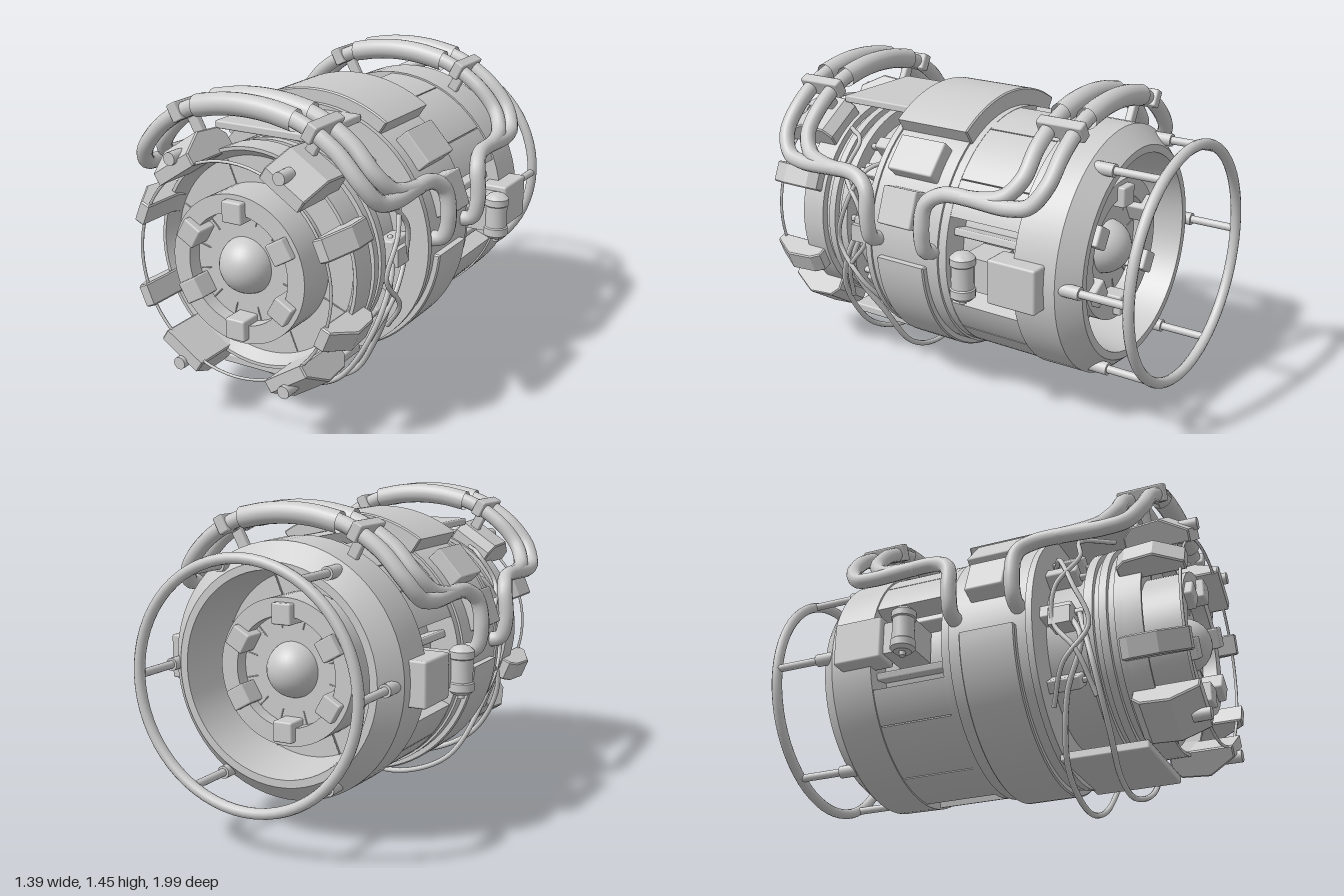
import * as THREE from 'three';
import { toCreasedNormals } from 'three/addons/utils/BufferGeometryUtils.js';
import { RoundedBoxGeometry } from 'three/addons/geometries/RoundedBoxGeometry.js';

const AXIS_Y = 0.725;
const mat = new THREE.MeshStandardMaterial({ color: 0xcccccc, side: THREE.DoubleSide });
const rad = THREE.MathUtils.degToRad;

export function createModel() {
  const model = new THREE.Group();
  const body = new THREE.Group(); // everything inside is measured from the engine axis
  body.name = 'engine';
  body.position.y = AXIS_Y;
  model.add(body);

  const add = (name, geo, x = 0, y = 0, z = 0) => {
    const m = new THREE.Mesh(geo, mat);
    m.name = name;
    m.position.set(x, y, z);
    body.add(m);
    return m;
  };
  // turned part around the z axis, profile as [radius, z]
  const turned = (name, pts, seg = 64) => {
    const g = new THREE.LatheGeometry(pts.map(p => new THREE.Vector2(...p)), seg);
    return add(name, toCreasedNormals(g.rotateX(Math.PI / 2), 0.5));
  };
  const ring = (name, r0, r1, z0, z1) =>
    turned(name, [[r0, z0], [r1, z0], [r1, z1], [r0, z1], [r0, z0]]);
  // curved plate between two radii and two angles in degrees
  const plate = (name, r0, r1, a0, a1, z0, z1) => {
    const s = new THREE.Shape();
    s.absarc(0, 0, r1, rad(a0), rad(a1), false);
    s.absarc(0, 0, r0, rad(a1), rad(a0), true);
    s.closePath();
    const b = 0.006;
    const g = new THREE.ExtrudeGeometry(s, {
      depth: z1 - z0 - 2 * b, curveSegments: 24, bevelThickness: b, bevelSize: b, bevelOffset: -b, bevelSegments: 1,
    });
    return add(name, toCreasedNormals(g.translate(0, 0, z0 + b), 0.4));
  };
  // put a mesh at an angle around the axis, its local x pointing outwards
  const place = (m, deg, r, z) => {
    m.position.set(r * Math.cos(rad(deg)), r * Math.sin(rad(deg)), z);
    m.rotation.z = rad(deg);
    return m;
  };
  const radialBox = (name, deg, r0, r1, width, z0, z1) =>
    place(add(name, new RoundedBoxGeometry(r1 - r0, width, z1 - z0, 1, 0.008)), deg, (r0 + r1) / 2, (z0 + z1) / 2);
  const rod = (name, r, z0, z1, x, y, seg = 16) =>
    add(name, new THREE.CylinderGeometry(r, r, z1 - z0, seg).rotateX(Math.PI / 2), x, y, (z0 + z1) / 2);
  // tube through points given with height above the ground
  const tube = (name, pts, r, n = 90, sides = 12) => {
    const c = new THREE.CatmullRomCurve3(pts.map(p => new THREE.Vector3(p[0], p[1] - AXIS_Y, p[2])), false, 'centripetal');
    return add(name, new THREE.TubeGeometry(c, n, r, sides));
  };

  // core and centre band
  turned('core', [[0, -0.46], [0.43, -0.46], [0.43, 0.3], [0.41, 0.34], [0.41, 0.7], [0, 0.7]]);
  ring('centreBand', 0.4, 0.572, -0.06, 0.31);
  ring('bandFlangeRear', 0.42, 0.562, -0.1, -0.06);
  ring('bandFlangeFront', 0.4, 0.58, 0.305, 0.335);
  plate('topCover', 0.55, 0.64, 56, 124, -0.07, 0.31);
  plate('bottomCover', 0.55, 0.6, 184, 356, 0, 0.26);
  for (const a of [42, 138]) radialBox('bandBlock', a, 0.5, 0.635, 0.17, 0, 0.24);
  for (const a of [20, 160]) radialBox('bandSideBlock', a, 0.5, 0.645, 0.17, 0.04, 0.22);

  // rear panels with open windows between them, repeated half a turn round
  const panels = [[21, 38], [38.5, 67], [67.5, 93], [107, 126], [126.5, 141], [141.5, 159]];
  for (const turn of [0, 180]) {
    for (const [a, b] of panels) plate('rearPanel', 0.42, 0.56, a + turn, b + turn, -0.46, -0.09);
    for (const z of [-0.36, -0.2]) radialBox('windowBar', 100 + turn, 0.42, 0.51, 0.14, z - 0.02, z + 0.02);
    for (const a of [-14, 14]) radialBox('windowRail', a + turn, 0.42, 0.51, 0.035, -0.46, -0.09);
  }

  // hollow rear housing
  turned('rearHousing', [[0.42, -0.46], [0.45, -0.735], [0.485, -0.735], [0.565, -0.65], [0.568, -0.45], [0.42, -0.45]]);

  // dished front rim and cooling rings
  turned('frontRim', [[0.4, 0.69], [0.49, 0.7], [0.49, 0.79], [0.475, 0.79], [0.44, 0.735], [0.3, 0.735]]);
  for (const [r, z0, z1] of [[0.49, 0.67, 0.71], [0.46, 0.62, 0.67], [0.485, 0.6, 0.635], [0.455, 0.57, 0.6], [0.48, 0.53, 0.57]])
    ring('coolingRing', 0.4, r, z0, z1);
  add('topShield', new RoundedBoxGeometry(0.48, 0.035, 0.4, 1, 0.008), 0, 0.54, 0.52);
  add('bottomShield', new RoundedBoxGeometry(0.48, 0.04, 0.4, 1, 0.008), 0, -0.535, 0.52);

  // the same hub with ball and blocks at both ends
  for (const [name, s, base] of [['front', 1, 0.735], ['rear', -1, -0.465]]) {
    const at = (a, b) => s > 0 ? [base + a, base + b] : [base - b, base - a];
    ring(name + 'HubRing', 0.245, 0.325, ...at(-0.01, 0.185));
    ring(name + 'HubFloor', 0, 0.25, ...at(0, 0.12));
    add(name + 'HubBall', new THREE.SphereGeometry(0.126, 32, 20), 0, 0, base + s * 0.1);
    for (let i = 0; i < 6; i++) {
      radialBox(name + 'HubBlock', 30 + i * 60, 0.21, 0.303, 0.095, ...at(0.11, 0.22));
      for (const d of [-14, 14]) radialBox(name + 'HubGroove', 60 + i * 60 + d, 0.185, 0.245, 0.005, ...at(0.11, 0.124));
    }
    for (let i = 0; i < 8; i++) radialBox(name + 'DishRib', 22.5 + i * 45, 0.32, 0.435, 0.005, ...at(-0.01, 0.004));
  }

  // clamps round the front, the four wide ones bolted
  const clamp = (deg, width, out) => {
    const s = new THREE.Shape([[0.44, 0.69], [0.53, 0.69], [out - 0.01, 0.73], [out, 0.86], [out - 0.07, 0.98],
      [0.455, 0.98], [0.455, 0.78], [0.44, 0.74]].map(p => new THREE.Vector2(...p)));
    const b = 0.006;
    const g = new THREE.ExtrudeGeometry(s, { depth: width - 2 * b, bevelThickness: b, bevelSize: b, bevelOffset: -b, bevelSegments: 1 });
    place(add('frontClamp', g.translate(0, 0, b - width / 2).rotateX(Math.PI / 2)), deg, 0, 0);
  };
  for (const a of [23, 157, 203, 337]) clamp(a, 0.1, 0.57);
  for (const a of [57, 123, 237, 303]) clamp(a, 0.215, 0.58);
  for (const x of [-0.265, 0.265]) for (const y of [-0.455, 0.455]) rod('clampBolt', 0.028, 0.92, 1, x, y);
  add('frontWireRing', new THREE.TorusGeometry(0.47, 0.007, 6, 64), 0, 0, 0.955);

  // lugs behind the cooling rings
  for (const a of [5, 35, 52, 128, 145, 175, 215, 325]) {
    radialBox('lug', a, 0.4, 0.49, 0.06, 0.33, 0.48);
    radialBox('lugRod', a, 0.42, 0.45, 0.025, 0.45, 0.6);
  }

  // rear guard ring on six posts
  add('guardRing', new THREE.TorusGeometry(0.525, 0.024, 12, 64), 0, 0, -0.97);
  for (let i = 0; i < 6; i++) {
    const x = 0.525 * Math.cos(i * Math.PI / 3), y = 0.525 * Math.sin(i * Math.PI / 3);
    rod('guardPost', 0.018, -0.97, -0.68, x, y);
    rod('guardPostFoot', 0.029, -0.75, -0.66, x, y);
  }

  // pairs of handle pipes, front and rear, the inner one joining the outer at the side
  const handle = (name, f) => {
    const both = half => [...half.slice(1).reverse().map(([x, y, z]) => [-x, y, f(z)]), ...half.map(([x, y, z]) => [x, y, f(z)])];
    tube(name + 'OuterPipe', both([[0, 1.4, 0.835], [0.24, 1.37, 0.835], [0.42, 1.27, 0.835], [0.53, 1.15, 0.825], [0.575, 1.07, 0.77],
      [0.59, 1.05, 0.68], [0.6, 1.05, 0.36], [0.625, 1.0, 0.285], [0.64, 0.87, 0.27], [0.615, 0.78, 0.27], [0.55, 0.76, 0.27]]), 0.035, 160);
    tube(name + 'InnerPipe', both([[0, 1.4, 0.71], [0.24, 1.37, 0.71], [0.42, 1.27, 0.71], [0.52, 1.16, 0.705],
      [0.565, 1.09, 0.65], [0.585, 1.065, 0.57], [0.595, 1.055, 0.46]]), 0.035, 140);
    for (const z of [0.835, 0.71]) {
      tube(name + 'Grip', [[-0.24, 1.37, f(z)], [-0.12, 1.393, f(z)], [0, 1.401, f(z)], [0.12, 1.393, f(z)], [0.24, 1.37, f(z)]], 0.048, 24, 20);
    }
    for (const a of [62, 118]) {
      const z = f(0.772);
      radialBox(name + 'Strap', a, 0.655, 0.735, 0.05, z - 0.11, z + 0.11);
      radialBox(name + 'StrapLeg', a, 0.5, 0.68, 0.05, z - 0.018, z + 0.018);
    }
  };
  handle('front', z => z);
  handle('rear', z => 0.24 - z);

  // canister and box on each side
  for (const s of [-1, 1]) {
    add('sideBox', new RoundedBoxGeometry(0.13, 0.2, 0.235, 1, 0.01), s * 0.57, 0, -0.48);
    add('canisterBracket', new THREE.BoxGeometry(0.17, 0.15, 0.15), s * 0.52, 0, -0.29);
    const can = [[0, -0.125], [0.015, -0.125], [0.015, -0.105], [0.04, -0.105], [0.056, -0.09], [0.056, -0.055], [0.05, -0.05], [0.05, 0.05],
      [0.056, 0.055], [0.056, 0.085], [0.035, 0.105], [0.015, 0.11], [0, 0.11]].map(p => new THREE.Vector2(...p));
    add('canister', toCreasedNormals(new THREE.LatheGeometry(can, 20), 0.6), s * 0.64, 0, -0.245);
  }

  // loose cables
  tube('lowCable', [[-0.43, 0.8, 0.42], [-0.49, 0.6, 0.52], [-0.45, 0.38, 0.44], [-0.3, 0.12, 0.38], [0, 0.014, 0.36],
    [0.22, 0.08, 0.37], [0.36, 0.28, 0.41], [0.48, 0.55, 0.5], [0.44, 0.8, 0.42]], 0.013, 80, 8);
  tube('middleCable', [[-0.44, 0.75, 0.5], [-0.49, 0.48, 0.57], [-0.36, 0.22, 0.59], [-0.15, 0.1, 0.56], [0.08, 0.075, 0.55],
    [0.28, 0.16, 0.58], [0.45, 0.42, 0.58], [0.49, 0.65, 0.5], [0.44, 0.8, 0.42]], 0.013, 80, 8);
  for (const s of [-1, 1]) {
    tube('sideCable', [[s * 0.3, 1.15, 0.63], [s * 0.4, 1.13, 0.5], [s * 0.48, 1.0, 0.52], [s * 0.52, 0.86, 0.42],
      [s * 0.5, 0.7, 0.4], [s * 0.5, 0.55, 0.5], [s * 0.42, 0.36, 0.56]], 0.011, 60, 8);
    tube('sideCable', [[s * 0.34, 1.05, 0.36], [s * 0.46, 1.02, 0.42], [s * 0.52, 0.85, 0.5], [s * 0.5, 0.66, 0.56],
      [s * 0.5, 0.5, 0.44], [s * 0.4, 0.35, 0.36]], 0.011, 60, 8);
    add('cableClip', new THREE.BoxGeometry(0.1, 0.08, 0.1), s * 0.46, 0, 0.43);
  }

  return model;
}
